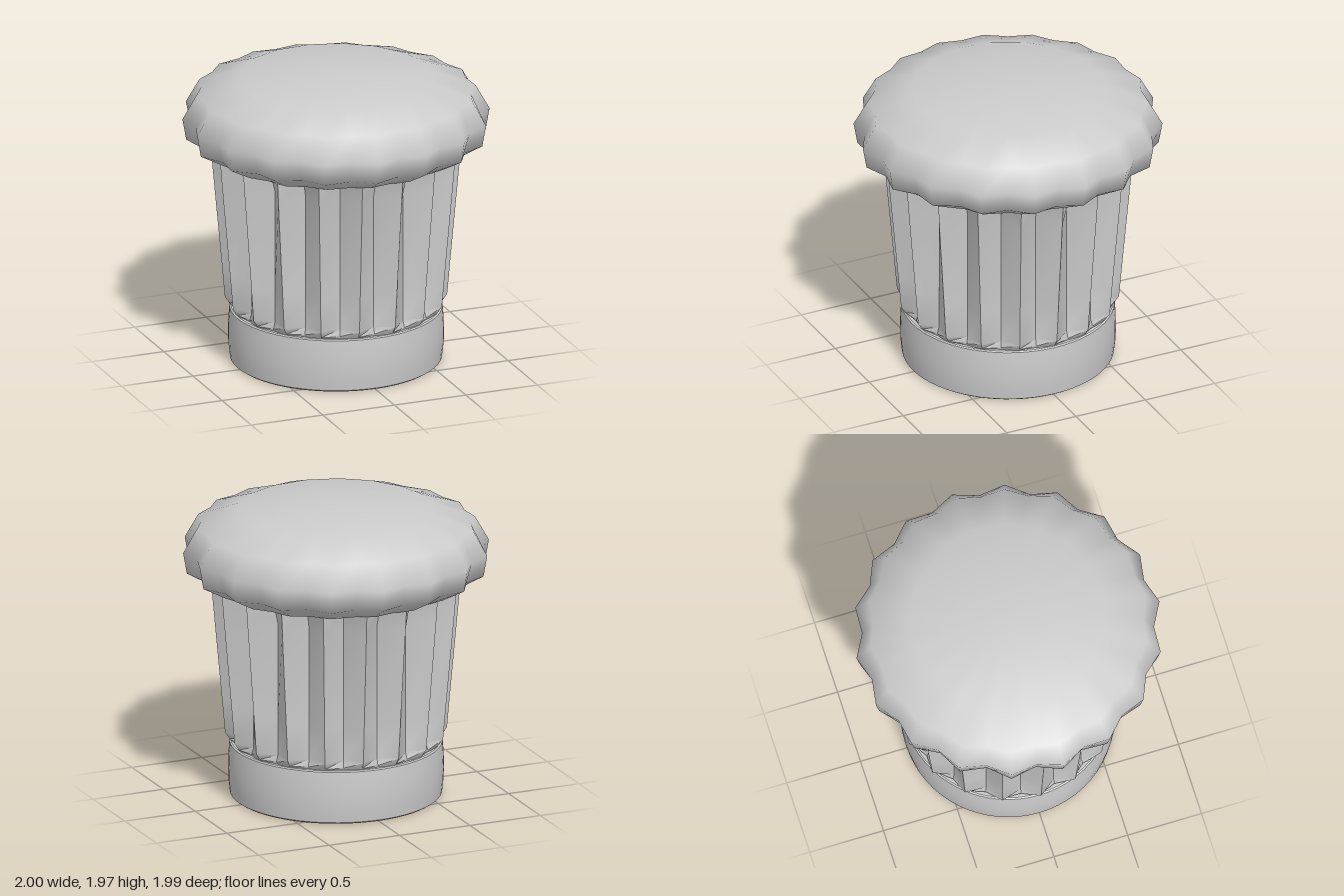
import * as THREE from 'three';
import { toCreasedNormals } from 'three/addons/utils/BufferGeometryUtils.js';

const PLEATS = 18;

// Skin through star-shaped rings [ridge radius, valley radius, y], listed so the front faces outward
function pleatedSkin(rings, phase = 0) {
  const n = PLEATS * 2;
  const pos = [], index = [];
  for (const [ridge, valley, y] of rings) {
    for (let i = 0; i < n; i++) {
      const a = phase + (i / n) * Math.PI * 2;
      const r = i % 2 ? valley : ridge;
      pos.push(r * Math.cos(a), y, r * Math.sin(a));
    }
  }
  for (let j = 0; j < rings.length - 1; j++) {
    for (let i = 0; i < n; i++) {
      const a = j * n + i, b = j * n + ((i + 1) % n);
      index.push(a, a + n, b, b, a + n, b + n);
    }
  }
  const geo = new THREE.BufferGeometry();
  geo.setAttribute('position', new THREE.Float32BufferAttribute(pos, 3));
  geo.setIndex(index);
  geo.computeVertexNormals();
  return geo;
}

export function createModel() {
  const hat = new THREE.Group();
  hat.name = 'chefHat';
  const cloth = new THREE.MeshStandardMaterial({ color: 0xcccccc, side: THREE.DoubleSide });
  const add = (name, geo) => {
    const mesh = new THREE.Mesh(geo, cloth);
    mesh.name = name;
    hat.add(mesh);
  };

  // Head band: an open ring with a slight bulge
  const profile = [
    [0.655, 0.01], [0.67, 0], [0.687, 0.012], [0.697, 0.1], [0.699, 0.18],
    [0.697, 0.27], [0.69, 0.355], [0.68, 0.362], [0.655, 0.362], [0.655, 0.01],
  ].map(([r, y]) => new THREE.Vector2(r, y));
  add('headBand', toCreasedNormals(new THREE.LatheGeometry(profile, 64), 0.6));

  // Pleated wall: ridges flare upward, valleys stay nearly upright
  add('pleatedWall', toCreasedNormals(pleatedSkin([
    [0.67, 0.655, 0.355],
    [0.69, 0.66, 0.375],
    [0.72, 0.645, 0.42],
    [0.74, 0.645, 0.65],
    [0.8, 0.645, 1.32],
    [0.81, 0.685, 1.445],
  ]), 0.6));

  // Puffed crown: ripples fade out toward the flat top
  const phase = THREE.MathUtils.degToRad(-4);
  add('crown', pleatedSkin([
    [0.81, 0.78, 1.44],
    [0.975, 0.91, 1.53],
    [1.0, 0.945, 1.67],
    [0.91, 0.875, 1.83],
    [0.635, 0.625, 1.925],
    [0.25, 0.25, 1.963],
    [0, 0, 1.965],
  ], phase));

  // Underside of the crown, closing the gaps above the pleat valleys
  add('crownUnderside', pleatedSkin([[0.66, 0.66, 1.443], [0.81, 0.78, 1.44]], phase));

  return hat;
}
